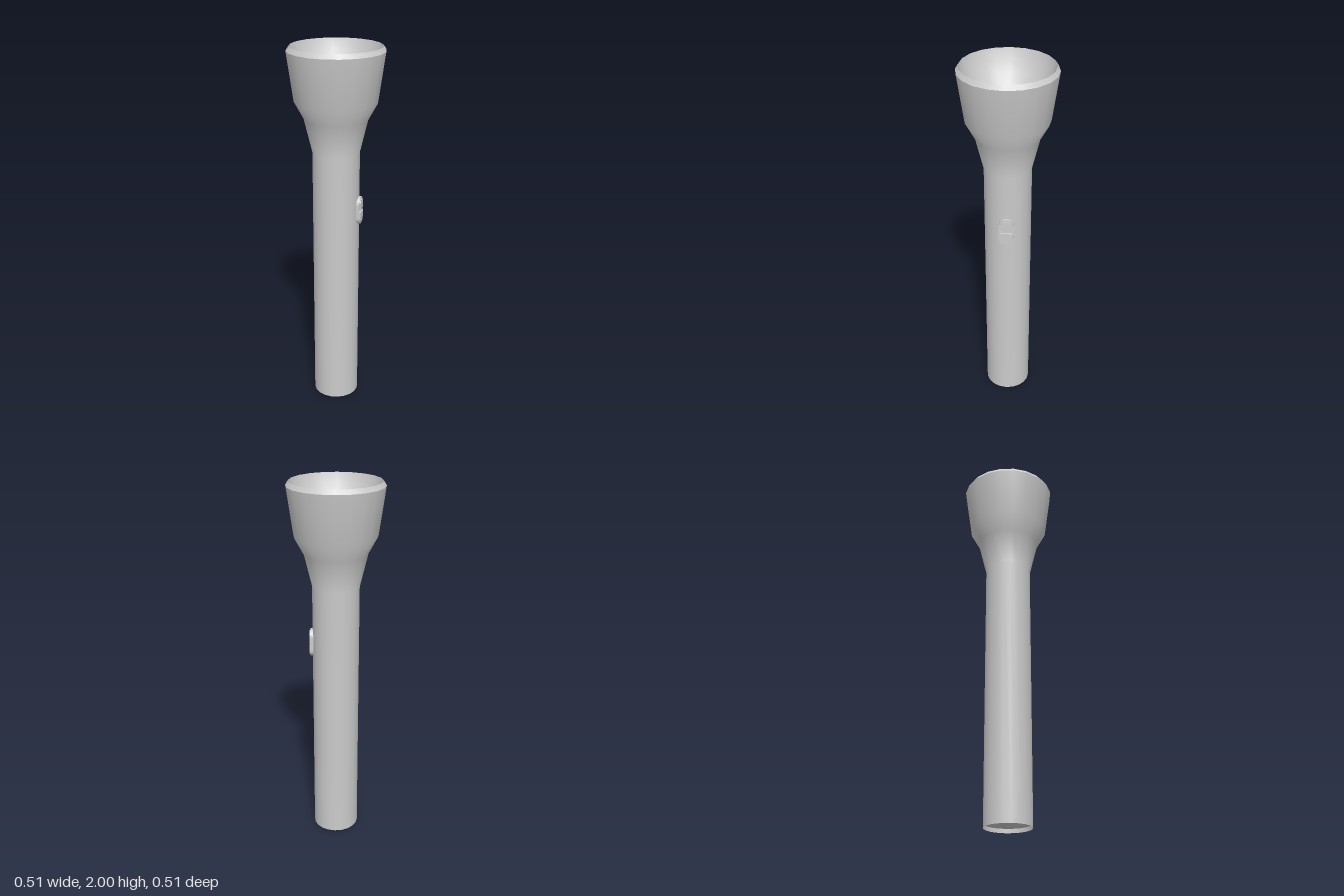
import * as THREE from 'three';

const SIDES = 20;
const material = new THREE.MeshStandardMaterial({ color: 0xcccccc });

function addMesh(parent, name, geometry) {
  const mesh = new THREE.Mesh(geometry, material);
  mesh.name = name;
  parent.add(mesh);
  return mesh;
}

// Revolved surface; each profile is smooth, separate profiles meet in a crease
function addLathe(parent, name, profile, sides = SIDES) {
  const points = profile.map(([r, y]) => new THREE.Vector2(r, y));
  return addMesh(parent, name, new THREE.LatheGeometry(points, sides));
}

// Upright capsule outline, straight part 2 * half tall
function capsule(Type, r, half) {
  const path = new Type();
  path.absarc(0, half, r, 0, Math.PI, false);
  path.absarc(0, -half, r, Math.PI, Math.PI * 2, false);
  path.closePath();
  return path;
}

// Extrude an outline sideways, from x0 to x1
function extrudeX(shape, x0, x1) {
  const geometry = new THREE.ExtrudeGeometry(shape, { depth: x1 - x0, bevelEnabled: false, curveSegments: 10 });
  return geometry.rotateY(Math.PI / 2).translate(x0, 0, 0);
}

export function createModel() {
  const model = new THREE.Group();
  model.name = 'flashlight';

  // Handle and flared head
  addLathe(model, 'body', [
    [0.125, 0], [0.125, 1.45], [0.168, 1.63], [0.217, 1.72], [0.253, 1.977],
  ]);
  addLathe(model, 'headRim', [[0.253, 1.977], [0.238, 2]]);

  // Recessed tail
  addLathe(model, 'tailLip', [[0.125, 0.022], [0.125, 0]]).material = new THREE.MeshStandardMaterial({
    color: 0xcccccc, side: THREE.DoubleSide,
  });
  addLathe(model, 'tailCap', [[0, 0.022], [0.125, 0.022]]);

  // Reflector bowl, its floor and the bulb
  addLathe(model, 'reflector', [
    [0.238, 2], [0.222, 1.945], [0.19, 1.885], [0.145, 1.82], [0.095, 1.762], [0.045, 1.72],
  ]);
  addLathe(model, 'reflectorFloor', [[0.045, 1.72], [0, 1.72]]);
  addLathe(model, 'bulb', [[0.025, 1.72], [0.024, 1.74], [0.019, 1.758], [0.013, 1.766]], 16);
  addLathe(model, 'bulbTip', [[0.013, 1.766], [0, 1.766]], 16);

  // Sliding switch on the left side
  const toggle = new THREE.Group();
  toggle.name = 'switch';
  toggle.position.y = 1.135;
  model.add(toggle);

  const frame = capsule(THREE.Shape, 0.04, 0.036);
  frame.holes.push(capsule(THREE.Path, 0.032, 0.036));
  addMesh(toggle, 'switchFrame', extrudeX(frame, 0.105, 0.137));
  addMesh(toggle, 'switchBase', extrudeX(capsule(THREE.Shape, 0.032, 0.036), 0.105, 0.13));

  // Two raised halves with a groove between them
  for (const s of [1, -1]) {
    const half = new THREE.Shape();
    half.moveTo(-0.031, s * 0.007);
    half.lineTo(0.031, s * 0.007);
    half.lineTo(0.031, s * 0.036);
    half.absarc(0, s * 0.036, 0.031, 0, s * Math.PI, s < 0);
    half.closePath();
    addMesh(toggle, s > 0 ? 'upperButton' : 'lowerButton', extrudeX(half, 0.12, 0.141));
  }

  return model;
}
